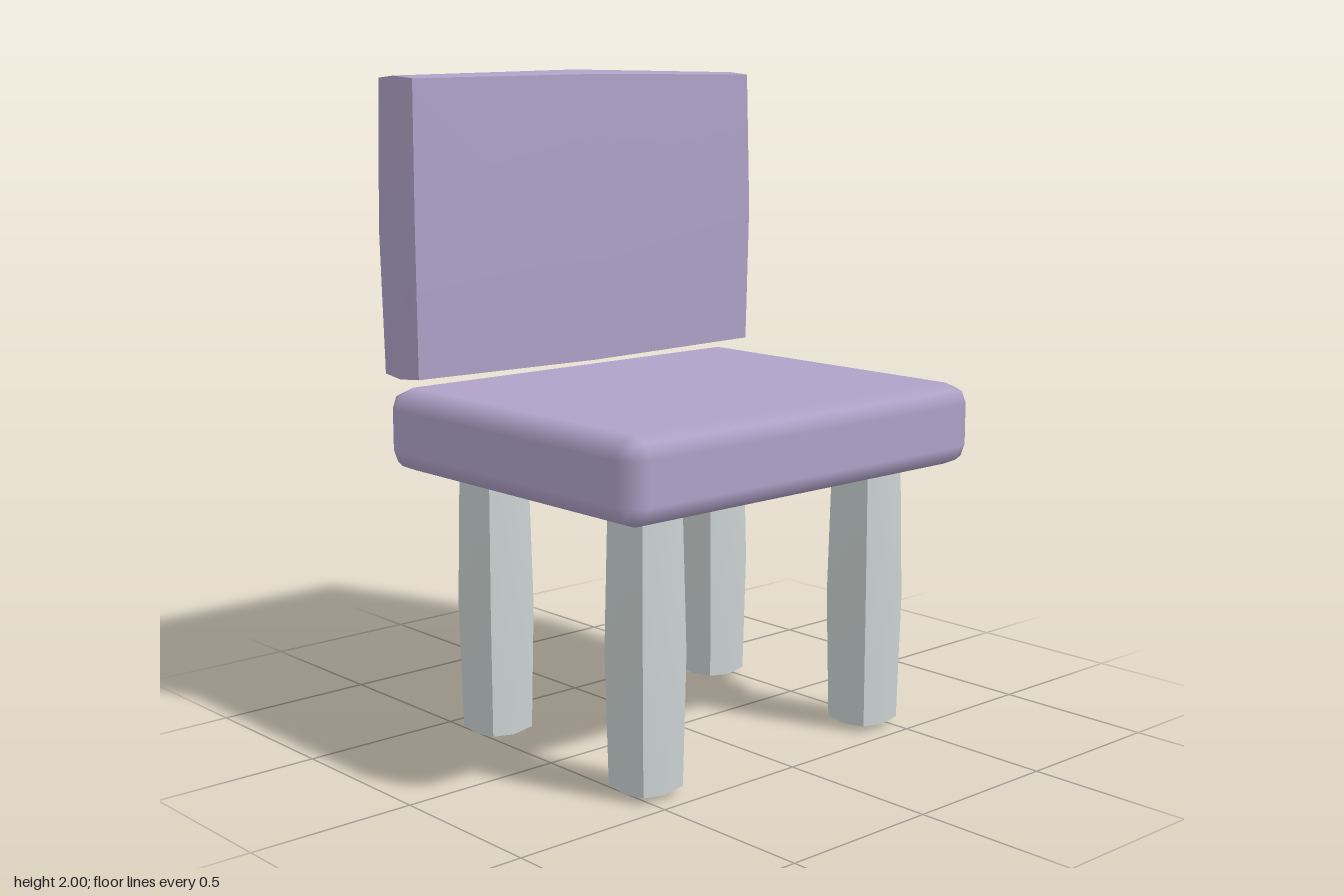
import * as THREE from 'three';
import { RoundedBoxGeometry } from 'three/addons/geometries/RoundedBoxGeometry.js';

// Box whose faces swell outwards: edge midpoints a little, face centres more.
// w, h, d are the overall sizes at the swollen face centres.
function swollenBox(w, h, d, bulge = 0.02, edgeBulge = 0.007) {
  const half = [w / 2 - bulge, h / 2 - bulge, d / 2 - bulge];
  const geo = new THREE.BoxGeometry(half[0] * 2, half[1] * 2, half[2] * 2, 2, 2, 2);
  const pos = geo.attributes.position;
  for (let i = 0; i < pos.count; i++) {
    const p = [pos.getX(i), pos.getY(i), pos.getZ(i)];
    const middles = p.filter((c) => Math.abs(c) < 1e-6).length;
    const push = [0, edgeBulge, bulge][middles];
    const q = p.map((c) => (Math.abs(c) < 1e-6 ? 0 : c + Math.sign(c) * push));
    pos.setXYZ(i, q[0], q[1], q[2]);
  }
  geo.computeVertexNormals(); // smooth within a face, sharp between faces
  return geo;
}

export function createModel() {
  const group = new THREE.Group();
  group.name = 'chair';

  const upholstery = new THREE.MeshStandardMaterial({ color: 0xb0a2c8 });
  upholstery.name = 'purple upholstery';
  const legPaint = new THREE.MeshStandardMaterial({ color: 0xcbd3d2 });
  legPaint.name = 'pale grey legs';

  const add = (name, geo, mat, x, y, z) => {
    const mesh = new THREE.Mesh(geo, mat);
    mesh.name = name;
    mesh.position.set(x, y, z);
    group.add(mesh);
  };

  // Seat cushion with bevelled edges
  add('seat', new RoundedBoxGeometry(1.37, 0.25, 1.127, 1, 0.062), upholstery, 0, 0.945, 0.018);

  // Backrest floating just above the rear of the seat
  add('backrest', swollenBox(1.37, 0.912, 0.21), upholstery, 0, 1.544, -0.477);

  // Four legs
  const legGeo = swollenBox(0.188, 0.815, 0.188);
  for (const [end, z] of [['front', 0.362], ['back', -0.324]]) {
    for (const [side, x] of [['Left', 0.448], ['Right', -0.448]]) {
      add(`${end}${side}Leg`, legGeo, legPaint, x, 0.4075, z);
    }
  }
  return group;
}
